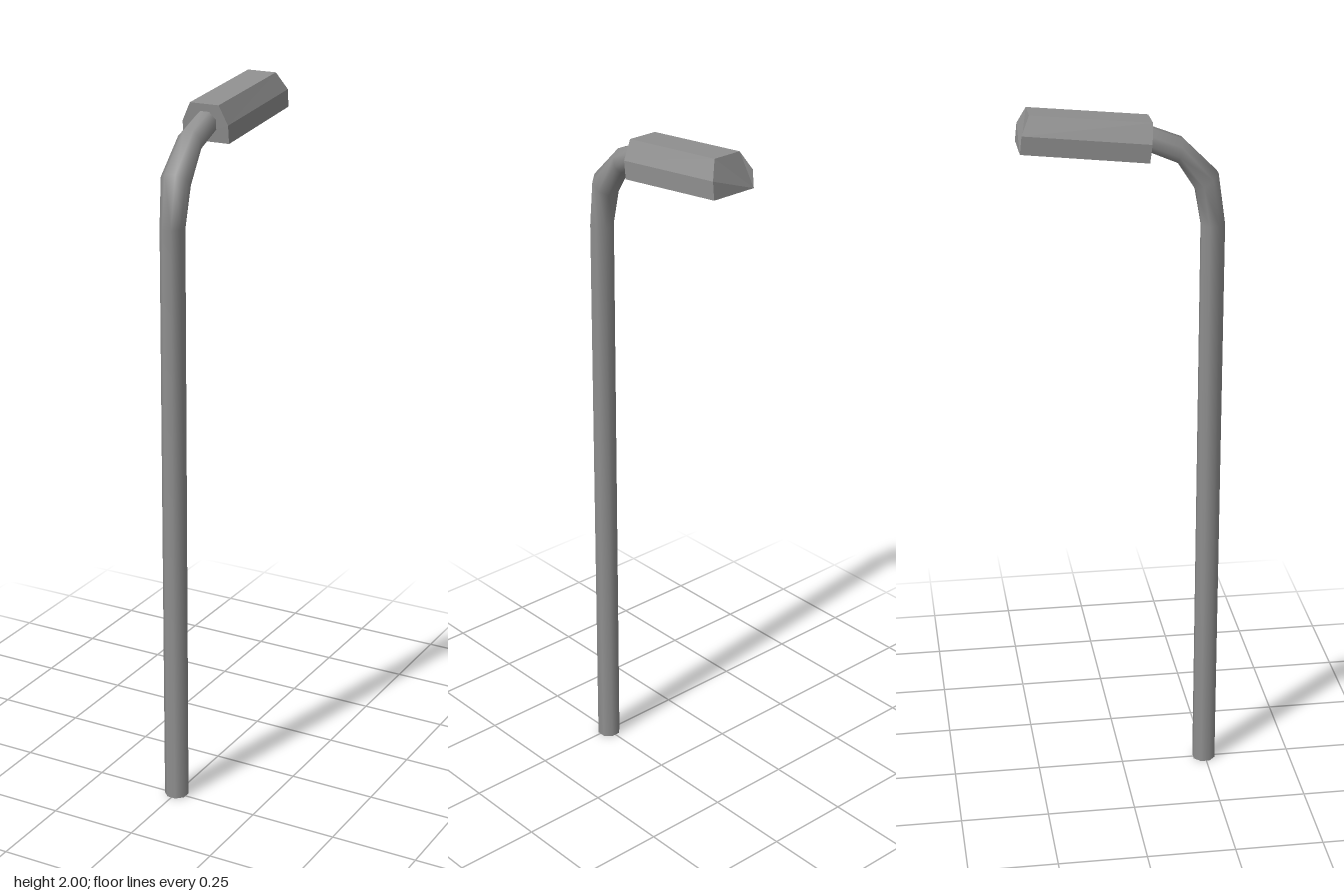
import * as THREE from 'three';

// Joins equal-sized rings of [x, y, z] points into a closed skin with end caps
function loft(rings, smooth) {
  const n = rings[0].length, pos = rings.flat(2), index = [];
  for (let r = 0; r < rings.length - 1; r++) {
    for (let i = 0; i < n; i++) {
      const a = r * n + i, b = r * n + (i + 1) % n;
      index.push(a, b, a + n, b, b + n, a + n);
    }
  }
  // End caps use their own corners so their rims stay sharp
  [rings[0], rings[rings.length - 1]].forEach((ring, end) => {
    const base = pos.length / 3;
    pos.push(...ring.flat());
    for (let i = 1; i < n - 1; i++) {
      if (end) index.push(base, base + i, base + i + 1);
      else index.push(base, base + i + 1, base + i);
    }
  });
  let geo = new THREE.BufferGeometry();
  geo.setAttribute('position', new THREE.Float32BufferAttribute(pos, 3));
  geo.setIndex(index);
  if (!smooth) geo = geo.toNonIndexed();
  geo.computeVertexNormals();
  return geo;
}

// Eight-sided ring, given its middle, radius and lean towards the back
function poleRing(y, z, radius, lean) {
  return Array.from({ length: 8 }, (_, i) => {
    const a = (i + 0.5) * Math.PI / 4, d = Math.cos(a) * radius;
    return [Math.sin(a) * radius, y + d * Math.sin(lean), z + d * Math.cos(lean)];
  });
}

// Lamp cross-section: upright lower sides and a chamfered top
function lampRing(bottom, shoulder, top) {
  const w = 0.0685, t = 0.043;
  return [
    [-w, ...bottom], [-w, ...shoulder], [-t, ...top],
    [t, ...top], [w, ...shoulder], [w, ...bottom],
  ];
}

export function createModel() {
  const group = new THREE.Group();
  const metal = new THREE.MeshStandardMaterial({ color: 0x8f8f8f });
  metal.name = 'grey metal';

  // Pole bending over into the arm
  const pole = new THREE.Mesh(loft([
    poleRing(0, 0.246, 0.034, 0),
    poleRing(1.672, 0.246, 0.034, 0.06),
    poleRing(1.793, 0.227, 0.041, 0.67),
    poleRing(1.881, 0.153, 0.036, 1.38),
    poleRing(1.923, 0.05, 0.035, 1.5),
  ], true), metal);
  pole.name = 'pole';

  // Lamp housing, tilted up to the back, with a sloped rear end
  const lamp = new THREE.Mesh(loft([
    lampRing([1.866, 0.064], [1.916, 0.07], [1.968, 0.075]),
    lampRing([1.903, -0.278], [1.952, -0.273], [2, -0.25]),
  ], false), metal);
  lamp.name = 'lampHousing';

  group.add(pole, lamp);
  return group;
}
